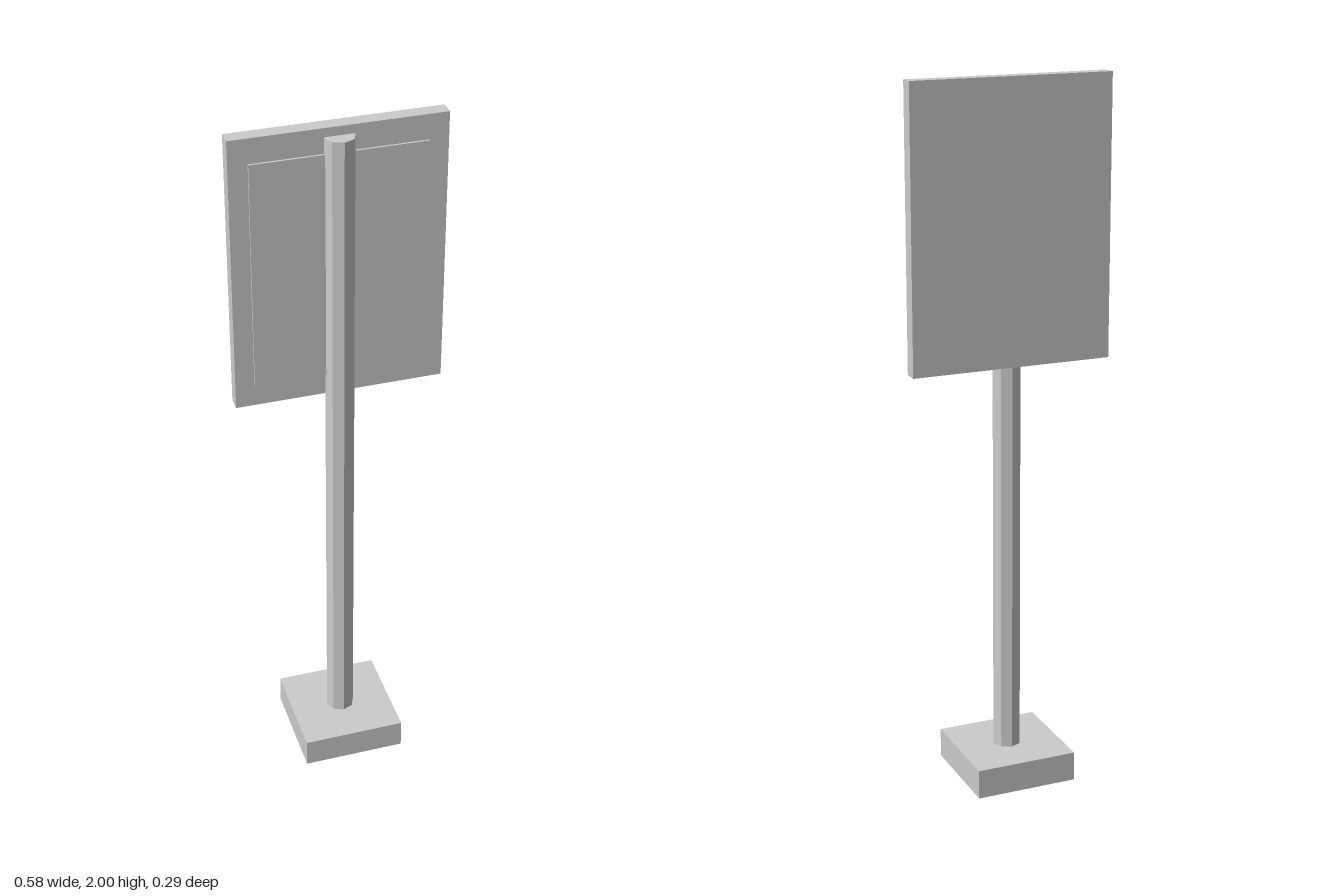
import * as THREE from 'three';

export function createModel() {
  const group = new THREE.Group();
  const material = new THREE.MeshStandardMaterial({ color: 0xcccccc, flatShading: true });

  const add = (name, geometry, x, y, z) => {
    const mesh = new THREE.Mesh(geometry, material);
    mesh.name = name;
    mesh.position.set(x, y, z);
    group.add(mesh);
  };
  // Box given by its size and the height of its underside
  const addBox = (name, w, h, d, bottom, z) =>
    add(name, new THREE.BoxGeometry(w, h, d), 0, bottom + h / 2, z);

  // Square foot
  addBox('base', 0.295, 0.085, 0.295, 0, 0);

  // Eight-sided post with a corner facing forward
  const postBottom = 0.04, postTop = 1.975;
  add('post', new THREE.CylinderGeometry(0.041, 0.041, postTop - postBottom, 8),
    0, (postTop + postBottom) / 2, 0);

  // Sign board behind the post, with a thin raised panel on its front
  addBox('signBoard', 0.577, 0.783, 0.041, 1.217, -0.0225);
  addBox('signPanel', 0.473, 0.65, 0.008, 1.28, 0);

  return group;
}
